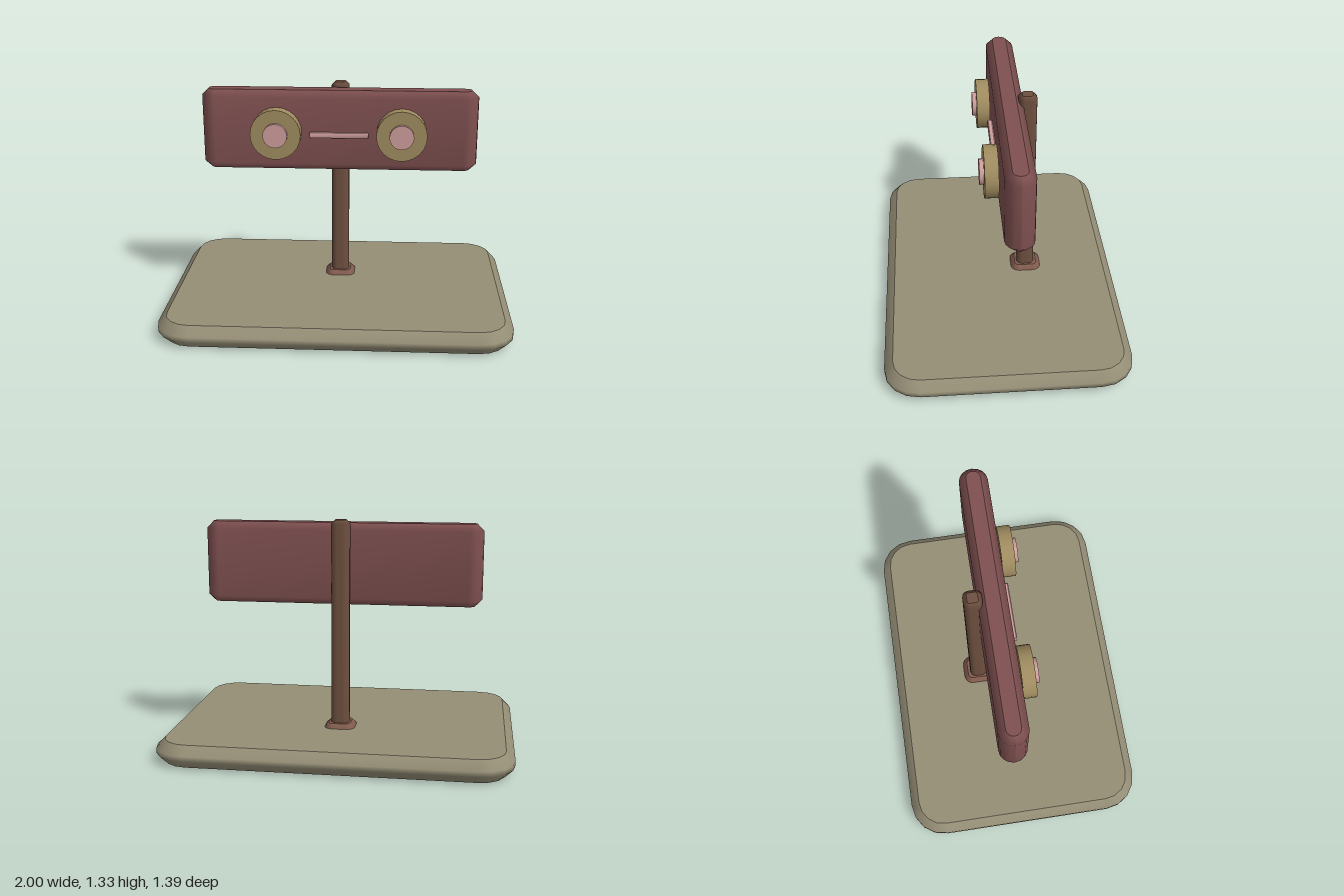
import * as THREE from 'three';

const mat = (name, color) => {
  const m = new THREE.MeshStandardMaterial({ color });
  m.name = name;
  return m;
};

// Points of a rounded rectangle with half sizes hx, hz and corner radius r
function outline(hx, hz, r, seg = 4) {
  const pts = [];
  for (let c = 0; c < 4; c++) {
    const sx = c === 0 || c === 3 ? 1 : -1, sz = c < 2 ? 1 : -1;
    for (let i = 0; i <= seg; i++) {
      const a = (c + i / seg) * Math.PI / 2;
      pts.push([sx * (hx - r) + r * Math.cos(a), sz * (hz - r) + r * Math.sin(a)]);
    }
  }
  return pts;
}

// Upright slab: rounded plan, bevelled rims, smooth sides and flat caps
function slab(hx, hz, r, y0, y1, bevel, bottomBevel = bevel) {
  const levels = [[y0, bottomBevel], [y0 + bottomBevel, 0], [y1 - bevel, 0], [y1, bevel]]
    .filter((l, i, a) => i === 0 || l[0] - a[i - 1][0] > 1e-5);
  const rings = levels.map(([y, d]) =>
    outline(hx - d, hz - d, Math.max(r - d, 0.006)).map(([x, z]) => [x, y, z]));
  const n = rings[0].length, pos = rings.flat(2), idx = [];
  for (let k = 0; k < rings.length - 1; k++) {
    for (let i = 0; i < n; i++) {
      const a = k * n + i, b = k * n + (i + 1) % n;
      idx.push(a, a + n, b, b, a + n, b + n);
    }
  }
  // caps use their own vertices so the rim stays sharp
  for (const top of [false, true]) {
    const start = pos.length / 3;
    pos.push(...(top ? rings[rings.length - 1] : rings[0]).flat());
    for (let i = 1; i < n - 1; i++) {
      if (top) idx.push(start, start + i + 1, start + i);
      else idx.push(start, start + i, start + i + 1);
    }
  }
  const g = new THREE.BufferGeometry();
  g.setAttribute('position', new THREE.Float32BufferAttribute(pos, 3));
  g.setIndex(idx);
  g.computeVertexNormals();
  return g;
}

export function createModel() {
  const group = new THREE.Group();
  const stone = mat('stone', 0x958e76);
  const maroon = mat('maroon', 0x7f5050);
  const brown = mat('brown', 0x6e5040);
  const collarBrown = mat('light brown', 0x825c4e);
  const tan = mat('tan', 0xa08c60);
  const pink = mat('pink', 0xcd9d9b);

  const add = (name, geo, material, x = 0, y = 0, z = 0) => {
    const m = new THREE.Mesh(geo, material);
    m.name = name;
    m.position.set(x, y, z);
    group.add(m);
    return m;
  };

  // Stand
  add('base', slab(1, 0.695, 0.2, 0, 0.13, 0.05), stone);
  add('postCollar', slab(0.088, 0.09, 0.05, 0.1, 0.155, 0.025, 0), collarBrown, 0, 0, -0.165);
  add('post', slab(0.052, 0.052, 0.035, 0.02, 1.33, 0.022), brown, 0, 0, -0.163);

  // Panel
  add('panel', slab(0.8, 0.081, 0.08, 0.837, 1.307, 0.04), maroon, 0, 0, -0.057);

  // Round dials with central knobs
  for (const side of [-1, 1]) {
    const dial = new THREE.CylinderGeometry(0.145, 0.145, 0.075, 24).rotateX(Math.PI / 2);
    const knob = new THREE.CylinderGeometry(0.07, 0.07, 0.035, 20).rotateX(Math.PI / 2);
    const label = side > 0 ? 'left' : 'right';
    add(label + 'Dial', dial, tan, side * 0.36, 1.07, 0.07);
    add(label + 'Knob', knob, pink, side * 0.36, 1.07, 0.114);
  }

  // Thin bar between the dials
  add('bar', slab(0.17, 0.015, 0.006, 1.041, 1.071, 0.005), pink, 0, 0, 0.038);

  return group;
}
